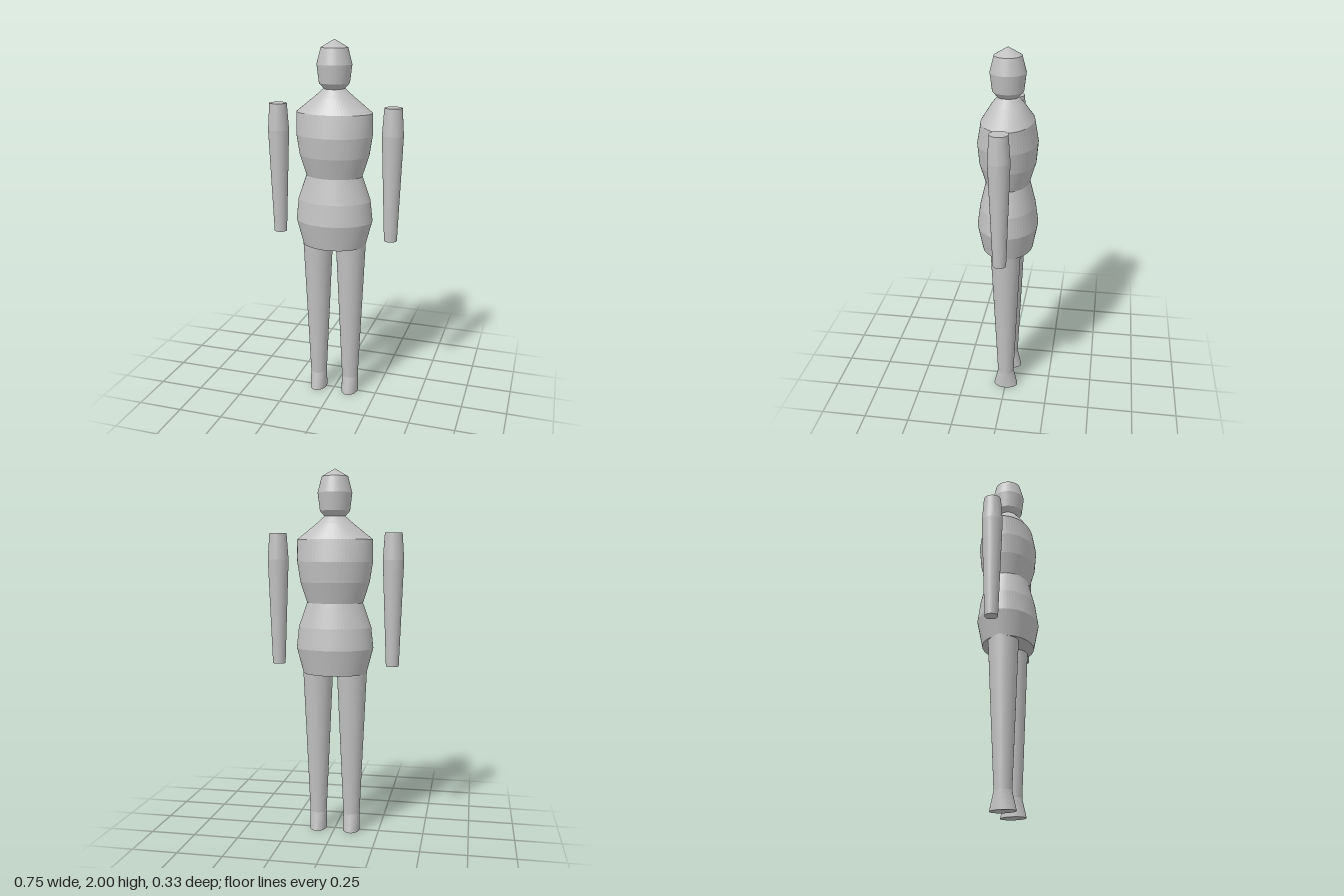
import * as THREE from 'three';

const SEGMENTS = 64;

// Closed body from elliptical rings [y, rx, rz], listed bottom to top
function loft(name, rings, material) {
  const positions = [];
  const point = ([y, rx, rz], i) => {
    const a = (i / SEGMENTS) * Math.PI * 2;
    return [rx * Math.sin(a), y, rz * Math.cos(a)];
  };
  const bottom = rings[0], top = rings[rings.length - 1];
  for (let i = 0; i < SEGMENTS; i++) {
    for (let r = 0; r < rings.length - 1; r++) {
      const a = point(rings[r], i), b = point(rings[r], i + 1);
      const c = point(rings[r + 1], i + 1), d = point(rings[r + 1], i);
      positions.push(...a, ...b, ...c, ...a, ...c, ...d);
    }
    // End caps
    positions.push(0, bottom[0], 0, ...point(bottom, i + 1), ...point(bottom, i));
    positions.push(0, top[0], 0, ...point(top, i), ...point(top, i + 1));
  }
  const geometry = new THREE.BufferGeometry();
  geometry.setAttribute('position', new THREE.Float32BufferAttribute(positions, 3));
  geometry.computeVertexNormals();
  const mesh = new THREE.Mesh(geometry, material);
  mesh.name = name;
  return mesh;
}

export function createModel() {
  const model = new THREE.Group();
  model.name = 'mannequin';
  const grey = new THREE.MeshStandardMaterial({ color: 0xc0c0c0, flatShading: true });
  grey.name = 'plain grey';

  // Hips, waist, chest, shoulders and neck
  model.add(loft('torso', [
    [0.9, 0.175, 0.138],
    [1.04, 0.212, 0.165],
    [1.155, 0.2, 0.149],
    [1.288, 0.154, 0.117],
    [1.4, 0.19, 0.15],
    [1.51, 0.207, 0.159],
    [1.628, 0.207, 0.138],
    [1.71, 0.104, 0.086],
    [1.755, 0.053, 0.05],
  ], grey));

  // Head with pointed crown
  model.add(loft('head', [
    [1.75, 0.055, 0.055],
    [1.78, 0.081, 0.081],
    [1.875, 0.093, 0.093],
    [1.96, 0.071, 0.071],
    [2.0, 0.003, 0.003],
  ], grey));

  for (const [side, s] of [['left', 1], ['right', -1]]) {
    // Separate tapering arm
    const arm = loft(side + 'Arm', [
      [0.945, 0.035, 0.035],
      [1.52, 0.057, 0.057],
      [1.663, 0.047, 0.047],
    ], grey);
    arm.position.x = s * 0.318;

    // Leg, tucked into the hips
    const leg = loft(side + 'Leg', [
      [0.1, 0.046, 0.046],
      [0.92, 0.083, 0.083],
    ], grey);
    leg.position.x = s * 0.095;

    // Flared foot
    const foot = loft(side + 'Foot', [
      [0, 0.047, 0.069],
      [0.1, 0.046, 0.046],
    ], grey);
    foot.position.x = s * 0.095;
    model.add(arm, leg, foot);
  }
  return model;
}
